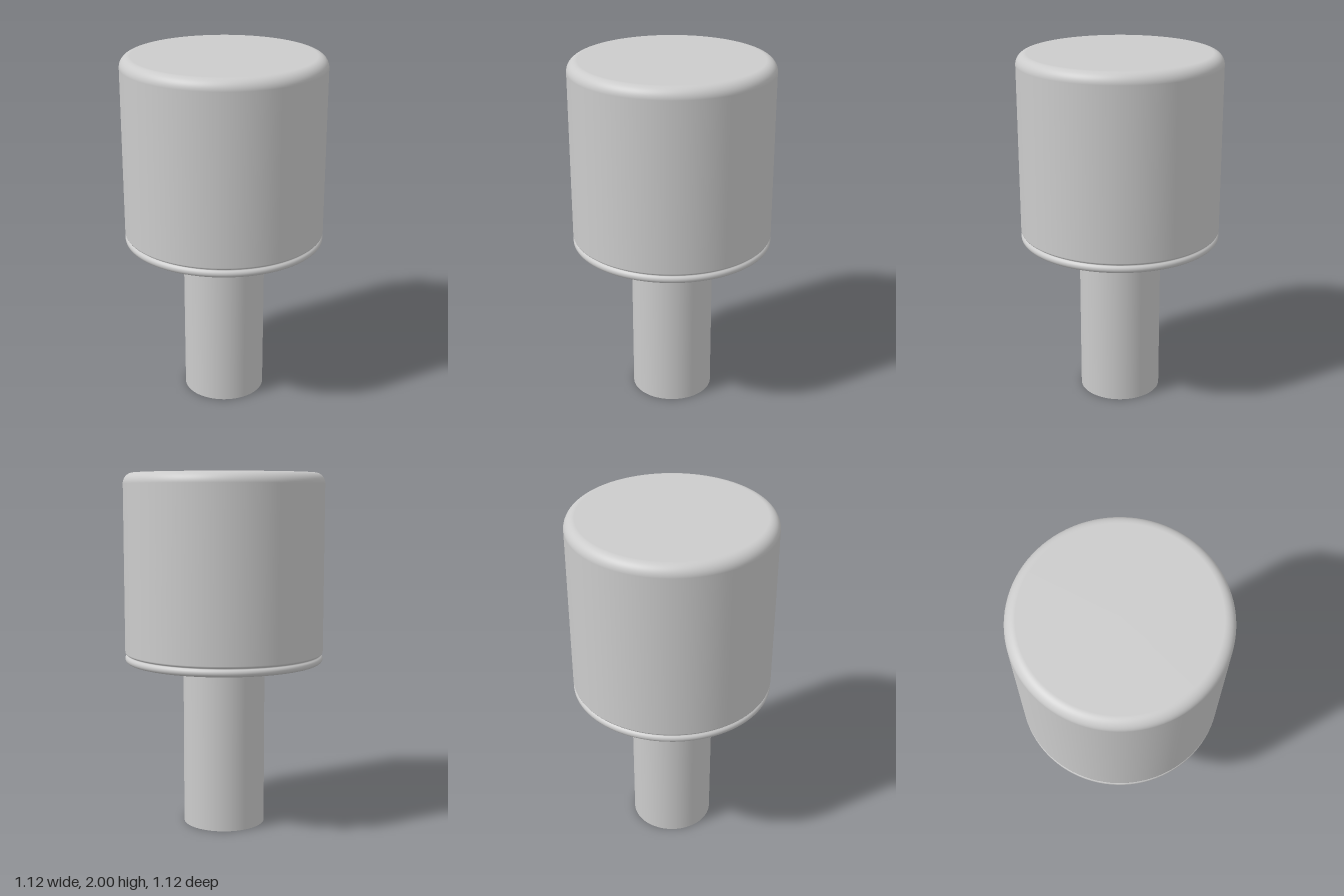
import * as THREE from 'three';

const SEGMENTS = 96;
const STEM_R = 0.232, CAP_R = 0.5625, CAP_BASE = 0.94, TOP = 2;

// Points along a quarter-or-more arc in the (radius, height) plane
function arc(cx, cy, r, from, to, steps) {
  return Array.from({ length: steps + 1 }, (_, i) => {
    const a = from + (to - from) * i / steps;
    return new THREE.Vector2(cx + r * Math.cos(a), cy + r * Math.sin(a));
  });
}

export function createModel() {
  const group = new THREE.Group();
  const material = new THREE.MeshStandardMaterial({ color: 0xcccccc, side: THREE.DoubleSide });

  const addLathe = (name, points) => {
    const mesh = new THREE.Mesh(new THREE.LatheGeometry(points, SEGMENTS), material);
    mesh.name = name;
    group.add(mesh);
  };

  // Hollow stem, open at the bottom
  addLathe('stem', [new THREE.Vector2(STEM_R, 0), new THREE.Vector2(STEM_R, CAP_BASE)]);

  // Cap: underside, rounded bead, narrow groove, wall and filleted top
  const bead = 0.022, fillet = 0.06;
  addLathe('cap', [
    new THREE.Vector2(STEM_R, CAP_BASE - 0.005),
    new THREE.Vector2(STEM_R, CAP_BASE),
    ...arc(CAP_R - bead, CAP_BASE + bead, bead, -Math.PI / 2, Math.PI * 0.36, 10),
    new THREE.Vector2(CAP_R - 0.013, CAP_BASE + 0.045),
    ...arc(CAP_R - 0.012, CAP_BASE + 0.06, 0.012, -Math.PI / 2, 0, 4),
    ...arc(CAP_R - fillet, TOP - fillet, fillet, 0, Math.PI / 2, 12),
    new THREE.Vector2(0, TOP),
  ]);

  return group;
}
